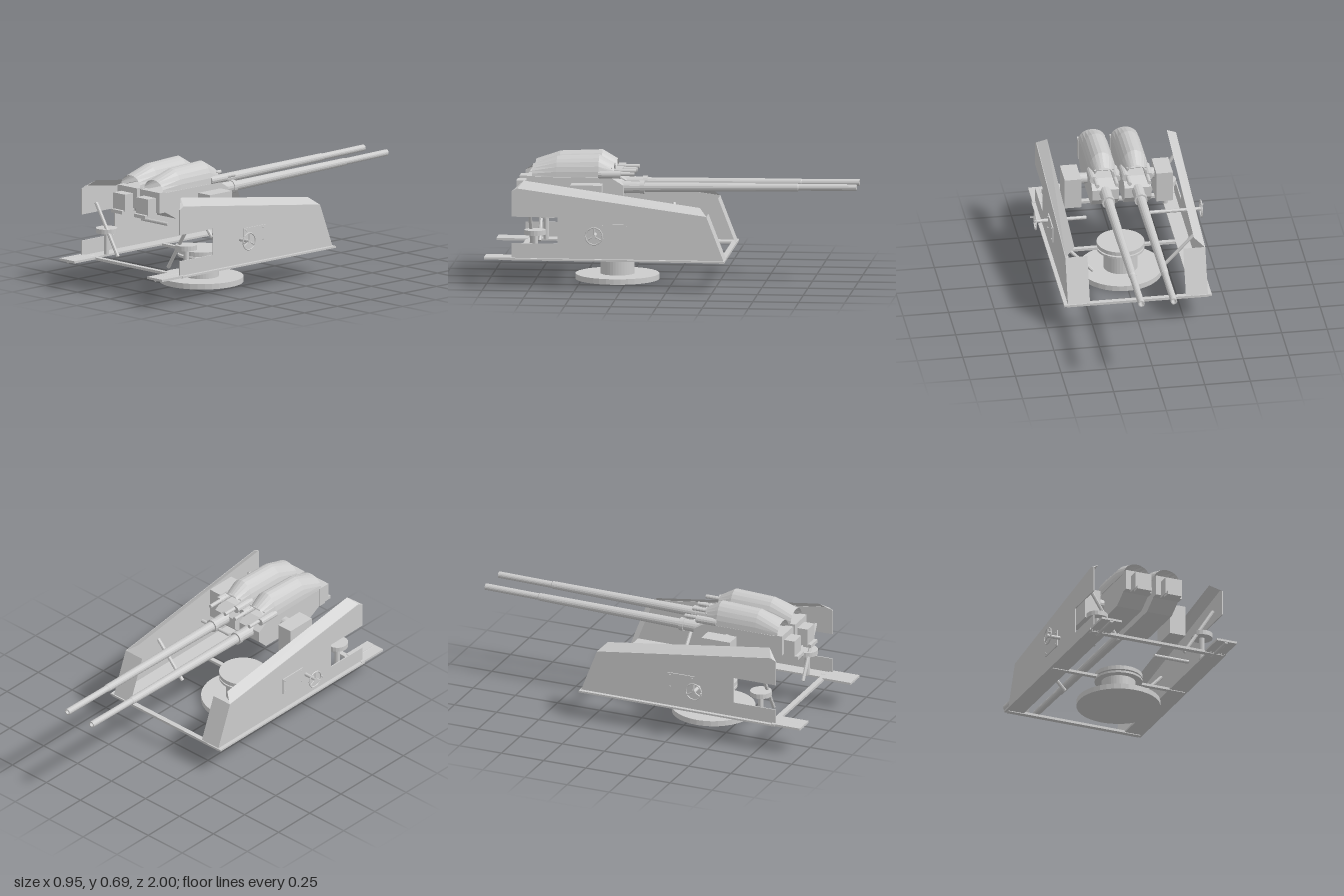
import * as THREE from 'three';

const mat = new THREE.MeshStandardMaterial({ color: 0xcccccc, flatShading: true, side: THREE.DoubleSide });
const V = (x, y, z) => new THREE.Vector3(x, y, z);

function add(parent, name, geo, x = 0, y = 0, z = 0) {
  const m = new THREE.Mesh(geo, mat);
  m.name = name;
  m.position.set(x, y, z);
  parent.add(m);
  return m;
}

// box given by its min and max along each axis
function box(parent, name, x0, x1, y0, y1, z0, z1) {
  return add(parent, name, new THREE.BoxGeometry(Math.abs(x1 - x0), y1 - y0, z1 - z0),
    (x0 + x1) / 2, (y0 + y1) / 2, (z0 + z1) / 2);
}

// round bar between two points
function rod(parent, name, a, b, r, seg = 12) {
  const m = add(parent, name, new THREE.CylinderGeometry(r, r, a.distanceTo(b), seg));
  m.position.copy(a).add(b).multiplyScalar(0.5);
  m.quaternion.setFromUnitVectors(V(0, 1, 0), b.clone().sub(a).normalize());
  return m;
}

// side profile of [z, y] points extruded across x
function profile(parent, name, pts, width, x = 0) {
  const shape = new THREE.Shape(pts.map(p => new THREE.Vector2(p[0], p[1])));
  const g = new THREE.ExtrudeGeometry(shape, { depth: width, bevelEnabled: false });
  g.translate(0, 0, -width / 2).rotateY(-Math.PI / 2);
  return add(parent, name, g, x);
}

// sheet lofted through rows of equal point counts
function sheet(parent, name, rows) {
  const n = rows[0].length, idx = [];
  for (let i = 0; i < rows.length - 1; i++)
    for (let j = 0; j < n - 1; j++) {
      const a = i * n + j, b = a + n;
      idx.push(a, b, a + 1, a + 1, b, b + 1);
    }
  const g = new THREE.BufferGeometry().setFromPoints(rows.flat());
  g.setIndex(idx);
  g.computeVertexNormals();
  return add(parent, name, g);
}

function makePedestal(root) {
  const g = new THREE.Group();
  g.name = 'pedestal';
  g.position.z = 0.312;
  root.add(g);
  const disc = (name, r, y0, y1) => add(g, name, new THREE.CylinderGeometry(r, r, y1 - y0, 36), 0, (y0 + y1) / 2);
  disc('baseDisc', 0.228, 0, 0.03);
  disc('column', 0.093, 0.03, 0.15);
  disc('lowerFlange', 0.13, 0.143, 0.155);
  disc('turntable', 0.13, 0.163, 0.185);
  disc('turntableCore', 0.11, 0.15, 0.17);
}

function makeSide(s) {
  const g = new THREE.Group();
  g.name = s > 0 ? 'leftSide' : 'rightSide';
  const w = 0.381;
  // notched armour wall
  profile(g, 'sideWall', [[0.85, 0.16], [0.85, 0.245], [0.6, 0.245], [0.6, 0.39], [0.85, 0.39], [0.85, 0.53],
    [0.82, 0.545], [-0.21, 0.405], [-0.305, 0.16]], 0.006, s * w);
  // sloping roof strip and front plate
  sheet(g, 'roofStrip', [
    [V(s * w, 0.53, 0.85), V(s * w, 0.545, 0.82), V(s * w, 0.405, -0.21)],
    [V(s * 0.328, 0.58, 0.79), V(s * 0.328, 0.58, 0.785), V(s * 0.328, 0.445, -0.17)]]);
  sheet(g, 'frontPlate', [
    [V(s * w, 0.405, -0.21), V(s * 0.263, 0.405, -0.21)],
    [V(s * w, 0.16, -0.305), V(s * 0.263, 0.16, -0.305)]]);
  // floor rail and rear step
  box(g, 'floorRail', s * 0.3, s * 0.405, 0.154, 0.164, -0.31, 0.85);
  box(g, 'rearStep', s * 0.282, s * 0.4, 0.155, 0.167, 0.83, 1);
  rod(g, 'stepRib', V(s * 0.34, 0.157, 0.8), V(s * 0.34, 0.157, 0.995), 0.011);
  // stool
  add(g, 'seat', new THREE.CylinderGeometry(0.059, 0.059, 0.026, 20), s * 0.31, 0.297, 0.73);
  rod(g, 'seatPost', V(s * 0.31, 0.16, 0.73), V(s * 0.31, 0.29, 0.73), 0.015);
  // diagonal braces
  rod(g, 'rearBrace', V(s * 0.365, 0.445, 0.755), V(s * 0.195, 0.17, 0.755), 0.01, 8);
  rod(g, 'frontBrace', V(s * 0.375, 0.36, 0.04), V(s * 0.195, 0.17, 0.04), 0.01, 8);
  // handwheel with three spokes
  rod(g, 'wheelShaft', V(s * 0.175, 0.3, 0.395), V(s * 0.46, 0.3, 0.395), 0.01);
  const wheel = new THREE.Group();
  wheel.name = 'handwheel';
  wheel.position.set(s * 0.455, 0.3, 0.395);
  add(wheel, 'rim', new THREE.TorusGeometry(0.046, 0.004, 6, 24).rotateY(Math.PI / 2));
  for (let i = 0; i < 3; i++) {
    const a = Math.PI / 2 + i * Math.PI * 2 / 3;
    rod(wheel, 'spoke', V(0, 0, 0), V(0, 0.046 * Math.sin(a), 0.046 * Math.cos(a)), 0.004, 6);
  }
  rod(wheel, 'grip', V(0, 0.0, 0.046), V(s * 0.02, 0, 0.046), 0.004, 6);
  g.add(wheel);
  // bolted access plate
  box(g, 'accessPlate', s * 0.382, s * 0.39, 0.265, 0.358, 0.21, 0.37);
  for (const y of [0.278, 0.345]) for (const z of [0.225, 0.355])
    rod(g, 'bolt', V(s * 0.388, y, z), V(s * 0.394, y, z), 0.005, 6);
  // trunnion block
  box(g, 'trunnionBlock', s * 0.206, s * 0.297, 0.38, 0.553, 0.37, 0.54);
  return g;
}

function makeGun(x) {
  const g = new THREE.Group();
  g.name = 'gun';
  g.position.x = x;
  // receiver and breech
  profile(g, 'receiver', [[0.75, 0.47], [0.75, 0.575], [0.33, 0.575], [0.265, 0.535], [0.265, 0.475],
    [0.32, 0.42], [0.66, 0.42]], 0.146);
  box(g, 'rearFrame', -0.076, 0.076, 0.468, 0.581, 0.745, 0.79);
  box(g, 'breechBlock', -0.046, 0.046, 0.455, 0.55, 0.78, 0.85);
  box(g, 'breechLip', -0.042, 0.042, 0.443, 0.462, 0.82, 0.87);
  // arched hood, open at both ends: [z, top, half width]
  const rows = [[0.762, 0.638, 0.074], [0.63, 0.684, 0.076], [0.4, 0.694, 0.076], [0.318, 0.645, 0.056]]
    .map(([z, top, hw]) => Array.from({ length: 13 }, (_, i) => {
      const a = Math.PI * i / 12;
      return V(hw * Math.cos(a), 0.577 + (top - 0.577) * Math.sin(a), z);
    }));
  sheet(g, 'hood', rows);
  rod(g, 'hoodBar', V(-0.055, 0.625, 0.33), V(0.055, 0.625, 0.33), 0.004, 6);
  // recoil rods on either side
  for (const s of [-1, 1]) {
    rod(g, 'recoilRod', V(s * 0.054, 0.595, 0.205), V(s * 0.054, 0.595, 0.34), 0.011);
    rod(g, 'recoilCylinder', V(s * 0.064, 0.592, 0.28), V(s * 0.064, 0.592, 0.4), 0.021);
  }
  // tapered hollow barrel, axis along -z: [radius, distance]
  const pts = [[0.034, 0], [0.031, 0.1], [0.036, 0.1], [0.036, 0.125], [0.027, 0.125], [0.021, 0.96],
    [0.018, 0.965], [0.018, 1.28], [0.012, 1.28], [0.012, 1.1], [0, 1.1]]
    .map(p => new THREE.Vector2(p[0], p[1]));
  const barrel = add(g, 'barrel', new THREE.LatheGeometry(pts, 16), 0, 0.515, 0.28);
  barrel.rotation.x = -Math.PI / 2 + 0.014;
  return g;
}

export function createModel() {
  const root = new THREE.Group();
  root.name = 'twinGunMount';
  const body = new THREE.Group();
  body.name = 'mount';
  body.position.x = 0.008;
  root.add(body);

  makePedestal(body);
  for (const s of [-1, 1]) {
    body.add(makeSide(s));
    body.add(makeGun(s * 0.089));
  }
  // cross beams joining the rails
  box(body, 'frontBeam', -0.39, 0.39, 0.15, 0.164, -0.308, -0.28);
  box(body, 'middleBeam', -0.39, 0.39, 0.15, 0.164, 0.295, 0.32);
  box(body, 'rearBeam', -0.39, 0.39, 0.15, 0.164, 0.81, 0.84);
  rod(body, 'trunnionShaft', V(-0.21, 0.507, 0.465), V(0.21, 0.507, 0.465), 0.03, 16);
  return root;
}
